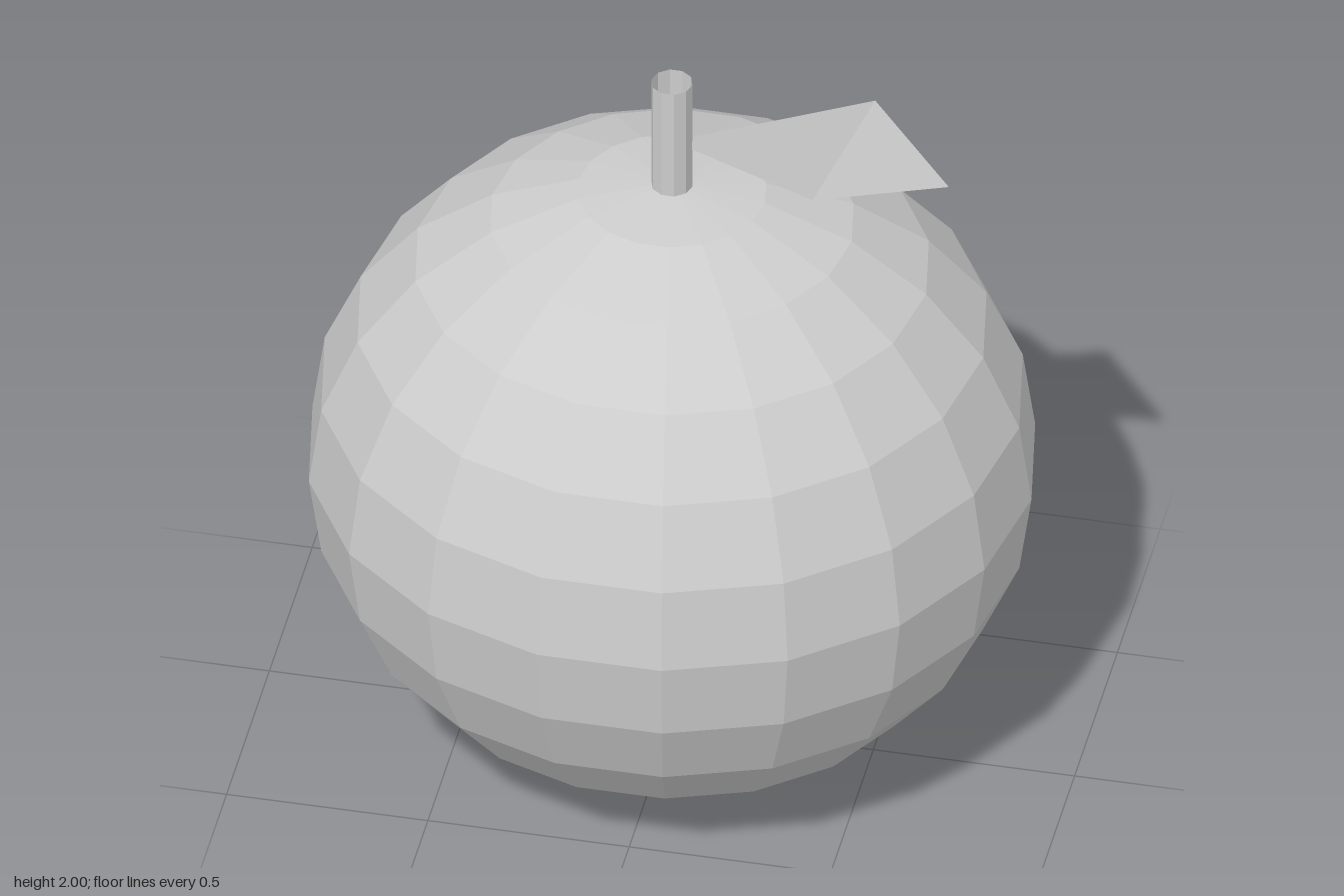
import * as THREE from 'three';

export function createModel() {
  const model = new THREE.Group();
  const grey = new THREE.MeshStandardMaterial({ color: 0xcccccc, flatShading: true, side: THREE.DoubleSide });
  grey.name = 'grey';

  const add = (name, geometry) => {
    const mesh = new THREE.Mesh(geometry, grey);
    mesh.name = name;
    model.add(mesh);
    return mesh;
  };

  // Faceted fruit, slightly squashed ellipsoid
  const fruit = new THREE.SphereGeometry(1, 18, 12);
  fruit.scale(0.893, 0.833, 0.865);
  add('fruit', fruit).position.y = 0.836;

  // Open ten-sided stem, with a vertex on the x axis
  const bottom = 1.655, top = 1.975;
  const stem = new THREE.CylinderGeometry(0.051, 0.051, top - bottom, 10, 1, true, Math.PI / 2);
  add('stem', stem).position.y = (bottom + top) / 2;

  // Leaf of two triangles, folded across the middle
  const leaf = new THREE.BufferGeometry();
  leaf.setAttribute('position', new THREE.Float32BufferAttribute([
    0, 1.794, 0,
    0.355, 1.69, 0.027,
    0.712, 1.855, 0.115,
    0.505, 2, 0,
  ], 3));
  leaf.setIndex([0, 1, 3, 1, 2, 3]);
  const facets = leaf.toNonIndexed();
  facets.computeVertexNormals();
  add('leaf', facets);

  return model;
}
